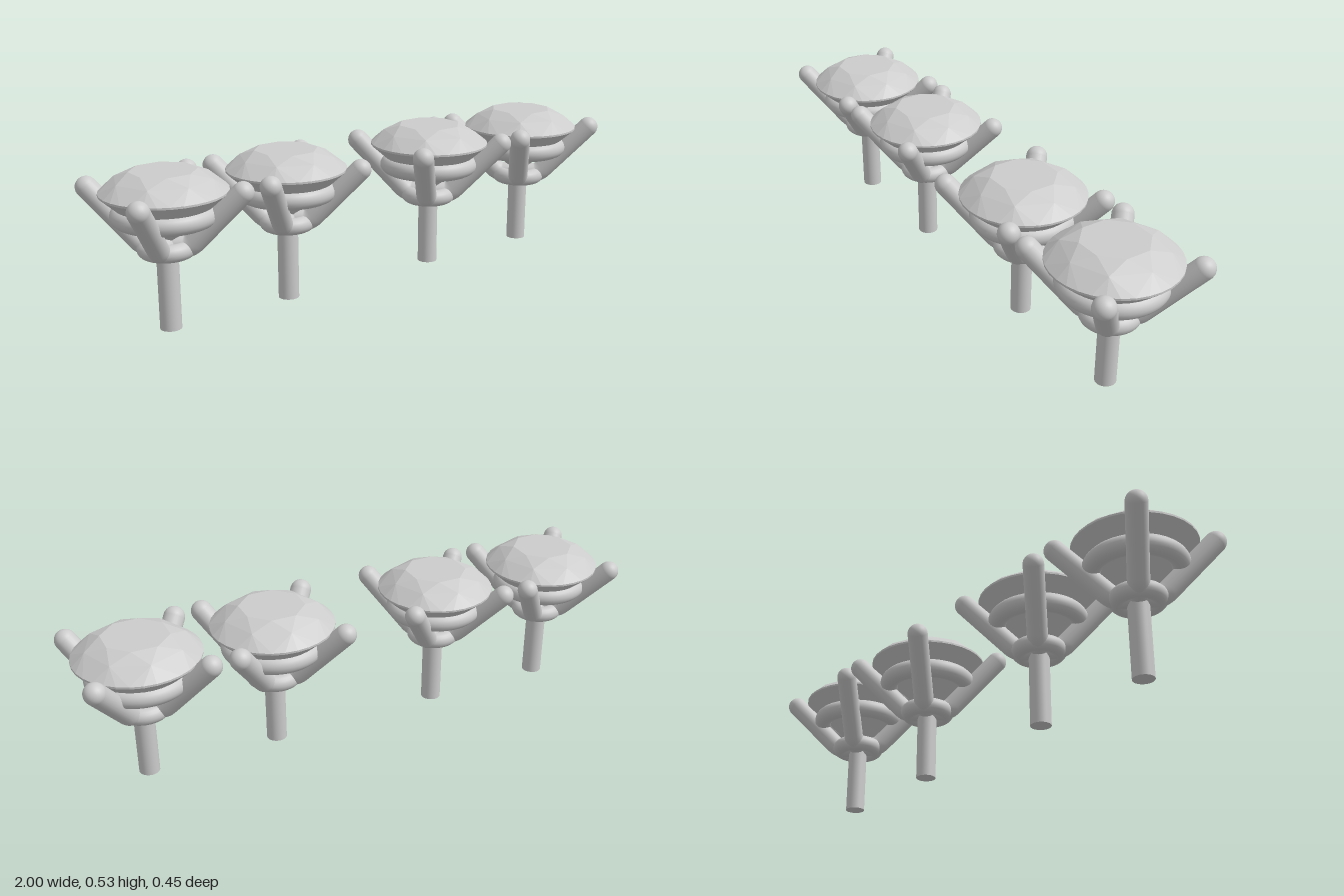
import * as THREE from 'three';
import { ConvexGeometry } from 'three/addons/geometries/ConvexGeometry.js';

const TOP = 0.527; // height of the stone's table
const metal = new THREE.MeshStandardMaterial({ color: 0xcccccc });
const gem = new THREE.MeshStandardMaterial({ color: 0xcccccc, flatShading: true });

function part(name, geometry, material = metal) {
  const mesh = new THREE.Mesh(geometry, material);
  mesh.name = name;
  return mesh;
}

// Points evenly spaced on a level circle
function ring(count, radius, y, turn = 0) {
  return Array.from({ length: count }, (_, i) => {
    const a = (i / count) * Math.PI * 2 + turn;
    return new THREE.Vector3(Math.cos(a) * radius, y, Math.sin(a) * radius);
  });
}

// Round brilliant: table, crown, girdle, pavilion and culet
function stoneGeometry() {
  const half = Math.PI / 8;
  return new ConvexGeometry([
    ...ring(8, 0.113, TOP, half),
    ...ring(8, 0.168, 0.502),
    ...ring(32, 0.214, 0.46),
    ...ring(32, 0.214, 0.453),
    ...ring(8, 0.053, 0.308),
    new THREE.Vector3(0, 0.265, 0),
  ]);
}

// Prong: runs out from the centre, bends, and rises to a rounded tip
function prong() {
  const r = 0.037;
  const v = (x, y) => new THREE.Vector3(x, y, 0);
  const start = v(0, 0.268), tip = v(0.264, 0.46), corner = v(0.08, 0.268);
  const before = v(0.06, 0.268), after = corner.clone().lerp(tip, 0.1);
  const path = new THREE.CurvePath();
  path.add(new THREE.LineCurve3(start, before));
  path.add(new THREE.QuadraticBezierCurve3(before, corner, after));
  path.add(new THREE.LineCurve3(after, tip));
  const group = new THREE.Group();
  group.name = 'prong';
  const cap = part('prongTip', new THREE.SphereGeometry(r, 24, 16));
  cap.position.copy(tip);
  group.add(part('prongShaft', new THREE.TubeGeometry(path, 40, r, 24)), cap);
  return group;
}

// Horizontal rail of the basket
function rail(name, radius, tube, y) {
  const mesh = part(name, new THREE.TorusGeometry(radius, tube, 20, 64));
  mesh.rotation.x = Math.PI / 2;
  mesh.position.y = y;
  return mesh;
}

function stud(x, scale) {
  const group = new THREE.Group();
  group.name = 'stud';
  group.position.x = x;

  // Stone and basket, scaled about the table height
  const head = new THREE.Group();
  head.name = 'head';
  head.scale.setScalar(scale);
  head.position.y = TOP * (1 - scale);
  head.add(part('stone', stoneGeometry(), gem));
  head.add(rail('upperRail', 0.146, 0.034, 0.379));
  head.add(rail('lowerRail', 0.07, 0.03, 0.261));
  for (let i = 0; i < 4; i++) {
    const p = prong();
    p.rotation.y = Math.PI / 4 + (i * Math.PI) / 2;
    head.add(p);
  }

  const post = part('post', new THREE.CylinderGeometry(0.0355, 0.0355, 0.26, 32));
  post.position.y = 0.13;
  group.add(head, post);
  return group;
}

export function createModel() {
  const model = new THREE.Group();
  model.name = 'studEarrings';
  // A smaller pair and a larger pair
  for (const [x, scale] of [[-0.788, 0.955], [-0.33, 0.955], [0.302, 1], [0.774, 1]]) {
    model.add(stud(x, scale));
  }
  return model;
}
